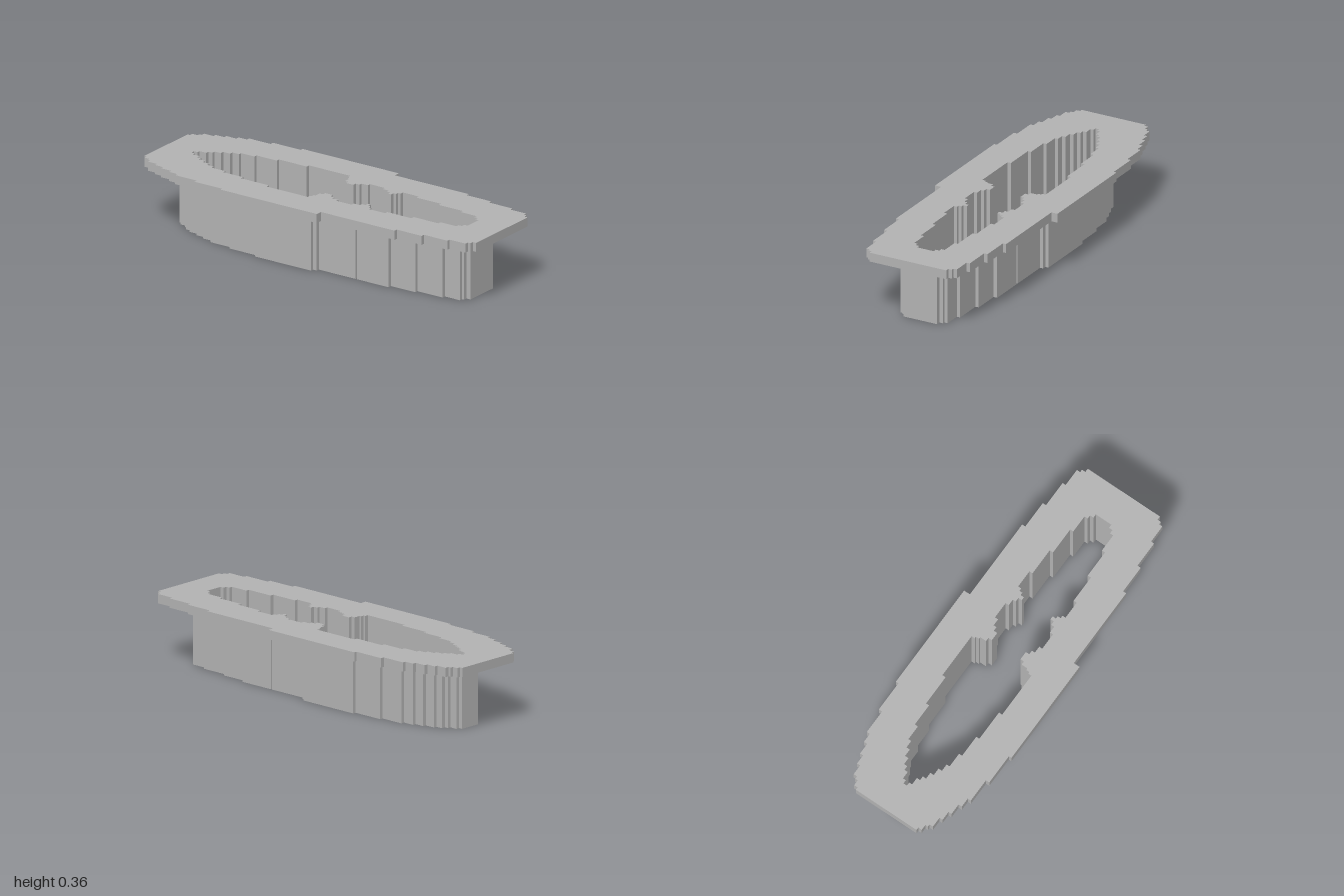
import * as THREE from 'three';

// Each outline is a list of steps from back to front: [half width, z where the step ends]
const rimSteps = [
  [0.18, -0.985], [0.2, -0.955], [0.215, -0.94], [0.235, -0.885], [0.253, -0.835],
  [0.271, -0.775], [0.29, -0.725], [0.308, -0.597], [0.327, -0.432], [0.342, 0.142],
  [0.308, 0.582], [0.29, 0.73], [0.271, 0.87], [0.253, 0.965], [0.234, 0.98], [0.214, 1],
];
const wallSteps = [
  [0.056, -0.86], [0.075, -0.82], [0.093, -0.8], [0.114, -0.765], [0.132, -0.71],
  [0.15, -0.66], [0.168, -0.6], [0.188, -0.475], [0.205, -0.31], [0.222, 0.022],
  [0.205, 0.044], [0.188, 0.263], [0.178, 0.272], [0.188, 0.46], [0.168, 0.605],
  [0.15, 0.755], [0.132, 0.845], [0.114, 0.857], [0.093, 0.88],
];
const openingSteps = [
  [0.01, -0.82], [0.027, -0.78], [0.046, -0.757], [0.065, -0.72], [0.085, -0.68],
  [0.105, -0.64], [0.122, -0.56], [0.14, -0.44], [0.158, -0.275], [0.177, -0.03],
  [0.158, -0.02], [0.14, -0.01], [0.105, 0.01], [0.085, 0.055], [0.105, 0.078],
  [0.122, 0.115], [0.14, 0.205], [0.122, 0.24], [0.105, 0.262], [0.085, 0.28],
  [0.105, 0.295], [0.122, 0.31], [0.14, 0.405], [0.122, 0.55], [0.103, 0.695],
  [0.085, 0.79], [0.066, 0.81], [0.046, 0.83],
];

// Closed stair-stepped outline, mirrored across x = 0
function outline(startZ, steps) {
  const side = [];
  let z = startZ;
  for (const [w, end] of steps) {
    side.push([w, z], [w, end]);
    z = end;
  }
  const mirrored = side.map(([x, y]) => [-x, y]).reverse();
  return [...side, ...mirrored].map(([x, y]) => new THREE.Vector2(x, y));
}

// Upright ring between two heights with the shared opening cut through
function ring(name, startZ, steps, bottom, top, material) {
  const shape = new THREE.Shape(outline(startZ, steps));
  shape.holes.push(new THREE.Path(outline(-0.84, openingSteps)));
  const geometry = new THREE.ExtrudeGeometry(shape, { depth: top - bottom, bevelEnabled: false });
  geometry.rotateX(Math.PI / 2).translate(0, top, 0);
  const mesh = new THREE.Mesh(geometry, material);
  mesh.name = name;
  return mesh;
}

export function createModel() {
  const group = new THREE.Group();
  group.name = 'cutter';
  const grey = new THREE.MeshStandardMaterial({ color: 0xb4b4b4 });
  grey.name = 'plain grey';
  // Wide grip rim on top of the thin cutting wall
  group.add(ring('gripRim', -1, rimSteps, 0.31, 0.357, grey));
  group.add(ring('cuttingWall', -0.88, wallSteps, 0, 0.31, grey));
  return group;
}
